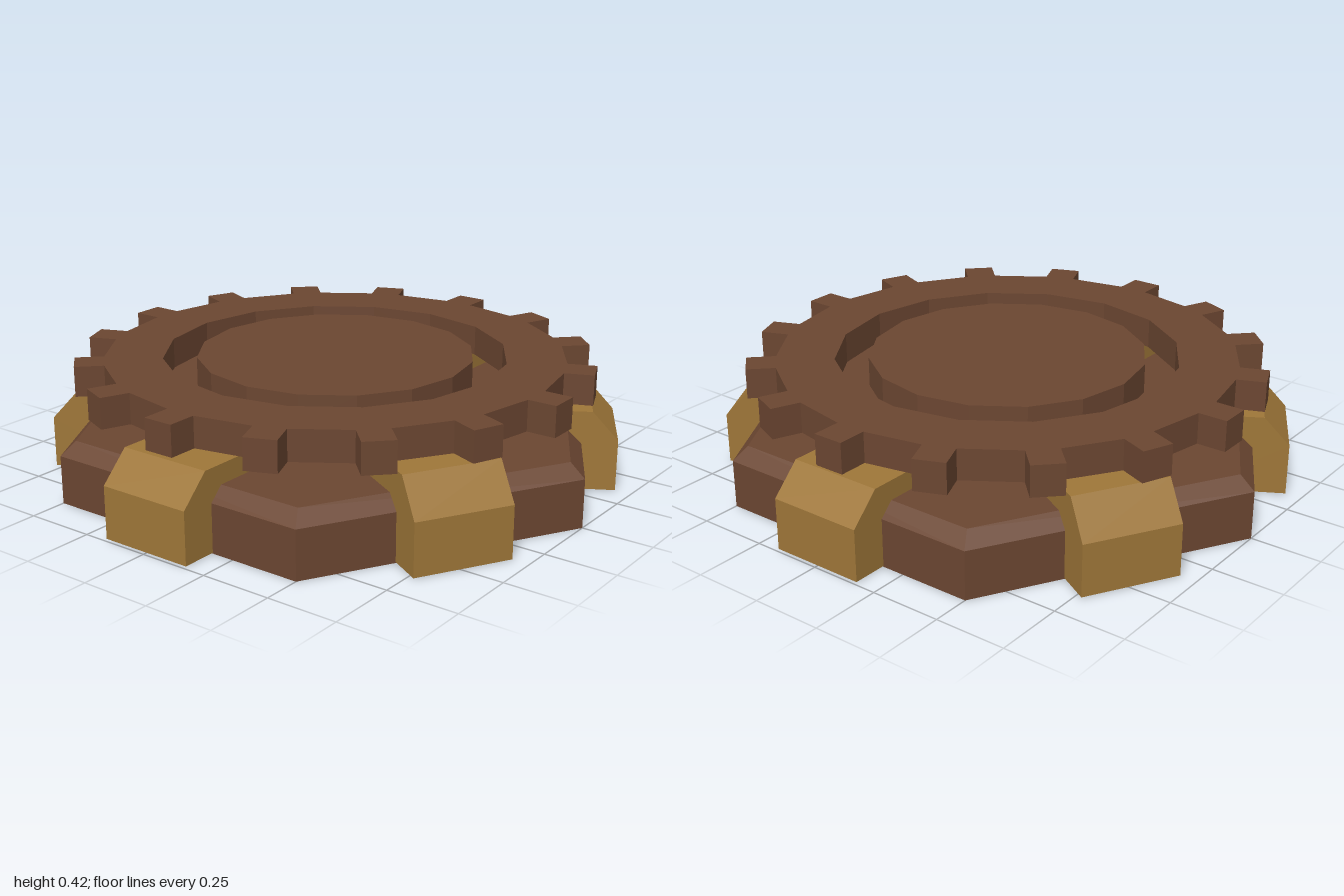
import * as THREE from 'three';

const brown = new THREE.MeshStandardMaterial({ color: 0x6b4631 });
brown.name = 'brown';
const gold = new THREE.MeshStandardMaterial({ color: 0x9e7638 });
gold.name = 'gold';

function flat(geometry) {
  const g = geometry.index ? geometry.toNonIndexed() : geometry;
  g.computeVertexNormals();
  return g;
}

function part(name, geometry, material) {
  const mesh = new THREE.Mesh(flat(geometry), material);
  mesh.name = name;
  return mesh;
}

// Side profile (distance, height) swept across the beam's width
function beam(name, profile, angle) {
  const width = 0.34;
  const shape = new THREE.Shape(profile.map(([x, y]) => new THREE.Vector2(x, y)));
  const g = new THREE.ExtrudeGeometry(shape, { depth: width, bevelEnabled: false });
  g.translate(0, 0, -width / 2);
  g.rotateY(angle);
  return part(name, g, gold);
}

function gearRing() {
  const teeth = 16, root = 0.81, tip = 0.913, half = 0.055;
  const outline = [], hole = [];
  for (let i = 0; i < teeth; i++) {
    const a = (i / teeth) * Math.PI * 2;
    const c = Math.cos(a), s = Math.sin(a);
    for (const [r, t] of [[root, -half], [tip, -half], [tip, half], [root, half]]) {
      outline.push(new THREE.Vector2(r * c - t * s, r * s + t * c));
    }
    hole.push(new THREE.Vector2(0.608 * c, 0.608 * s));
  }
  const shape = new THREE.Shape(outline);
  shape.holes.push(new THREE.Path(hole));
  const g = new THREE.ExtrudeGeometry(shape, { depth: 0.108, bevelEnabled: false });
  g.rotateX(-Math.PI / 2);
  g.translate(0, 0.308, 0);
  return part('gearRing', g, brown);
}

export function createModel() {
  const model = new THREE.Group();
  model.name = 'gearPlatform';

  // Hexagonal base with a chamfered top edge
  const profile = [[0, 0], [1, 0], [1, 0.17], [0.945, 0.217], [0, 0.217]];
  const base = new THREE.LatheGeometry(profile.map(([x, y]) => new THREE.Vector2(x, y)), 6);
  model.add(part('hexBase', base, brown));

  // Long beam across the base, just clear of its underside
  const low = 0.003;
  model.add(beam('crossBeam', [
    [-0.99, low], [0.99, low], [0.99, 0.185], [0.89, 0.285], [-0.89, 0.285], [-0.99, 0.185],
  ], 0));

  // Short clamps on the other four sides, one opposite pair slightly taller
  for (const degrees of [60, 120, 240, 300]) {
    const top = degrees % 180 === 60 ? 0.305 : 0.285;
    model.add(beam('clamp', [
      [0.65, low], [0.99, low], [0.99, 0.185], [0.9, top], [0.65, top],
    ], THREE.MathUtils.degToRad(degrees)));
  }

  // Toothed ring and the disc inside it
  model.add(gearRing());
  const disc = part('centreDisc', new THREE.CylinderGeometry(0.49, 0.49, 0.106, 16), brown);
  disc.position.y = 0.362;
  model.add(disc);

  return model;
}
